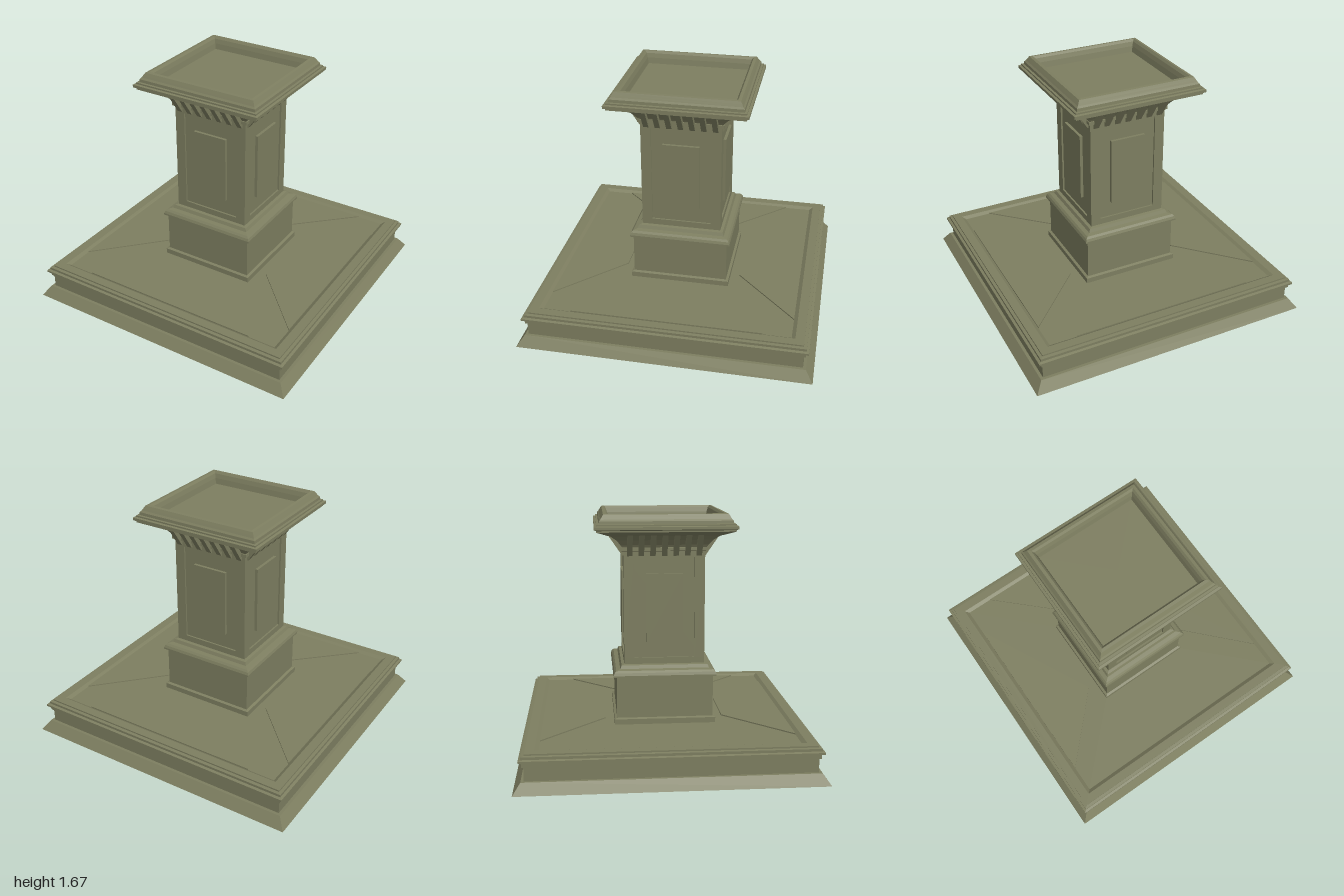
import * as THREE from 'three';

const stone = new THREE.MeshStandardMaterial({ color: 0x7d7e60, flatShading: true });

function add(parent, geometry, name, x = 0, y = 0, z = 0) {
  const mesh = new THREE.Mesh(geometry, stone);
  mesh.name = name;
  mesh.position.set(x, y, z);
  parent.add(mesh);
  return mesh;
}

// Sweep a [half width, height] profile around a square
function squareMoulding(profile) {
  const points = profile.map(([w, y]) => new THREE.Vector2(w * Math.SQRT2, y));
  const geometry = new THREE.LatheGeometry(points, 4, Math.PI / 4).toNonIndexed();
  geometry.computeVertexNormals();
  return geometry;
}

// Extrude an outline by a depth
function slab(outline, depth) {
  const shape = new THREE.Shape(outline.map(([x, y]) => new THREE.Vector2(x, y)));
  return new THREE.ExtrudeGeometry(shape, { depth, bevelEnabled: false });
}

export function createModel() {
  const model = new THREE.Group();
  model.name = 'pedestal';

  // Wide base with a moulded rim around a sunken floor
  add(model, squareMoulding([
    [0, 0.01], [0.68, 0.01], [0.68, 0], [1, 0], [0.95, 0.07], [0.93, 0.07],
    [0.93, 0.165], [0.943, 0.165], [0.943, 0.195], [0.962, 0.197], [0.962, 0.21],
    [0.945, 0.215], [0.945, 0.232], [0.925, 0.235], [0.925, 0.245],
    [0.865, 0.245], [0.84, 0.228], [0, 0.228],
  ]), 'base');

  // Plinth and its cap moulding
  add(model, squareMoulding([
    [0.347, 0.22], [0.347, 0.265], [0.33, 0.272], [0.33, 0.56], [0.352, 0.56],
    [0.352, 0.572], [0.345, 0.59], [0.333, 0.603], [0.305, 0.61],
    [0.295, 0.632], [0.275, 0.637], [0, 0.637],
  ]), 'plinth');

  // Shaft, sunken between its corner posts
  add(model, squareMoulding([
    [0.275, 0.63], [0.275, 0.68], [0.263, 0.68], [0.263, 1.37], [0.275, 1.37],
    [0.275, 1.41], [0.29, 1.415], [0.29, 1.437], [0.28, 1.44],
  ]), 'shaft');
  for (const x of [-0.24, 0.24]) {
    for (const z of [-0.24, 0.24]) {
      add(model, new THREE.BoxGeometry(0.07, 0.7, 0.07), 'cornerPost', x, 1.025, z);
    }
  }

  // Flared capital with a shallow basin on top
  add(model, squareMoulding([
    [0.28, 1.43], [0.295, 1.455], [0.322, 1.49], [0.365, 1.522], [0.385, 1.528],
    [0.455, 1.555], [0.455, 1.565], [0.471, 1.572], [0.471, 1.59], [0.455, 1.594],
    [0.455, 1.604], [0.44, 1.606], [0.438, 1.625], [0.428, 1.636], [0.42, 1.65],
    [0.41, 1.667], [0.39, 1.67], [0.378, 1.655], [0.368, 1.625], [0.36, 1.585],
    [0, 1.585],
  ]), 'capital');

  // Details repeated on each of the four sides
  const bracket = slab([
    [0.26, 1.38], [0.282, 1.38], [0.385, 1.53], [0.26, 1.53],
  ], 0.036);
  bracket.translate(0, 0, -0.018).rotateY(-Math.PI / 2);
  const floorPanel = slab([
    [-0.65, -0.84], [0.65, -0.84], [0.2, -0.41], [-0.2, -0.41],
  ], 0.02);
  floorPanel.rotateX(-Math.PI / 2);

  for (let i = 0; i < 4; i++) {
    const side = new THREE.Group();
    side.name = 'sideDetails';
    side.rotation.y = (i * Math.PI) / 2;
    model.add(side);
    add(side, new THREE.BoxGeometry(0.25, 0.47, 0.04), 'raisedPanel', 0, 1.025, 0.263);
    add(side, floorPanel, 'floorPanel', 0, 0.216, 0);
    for (let k = -3; k <= 3; k++) add(side, bracket, 'bracket', k * 0.078);
  }
  return model;
}
